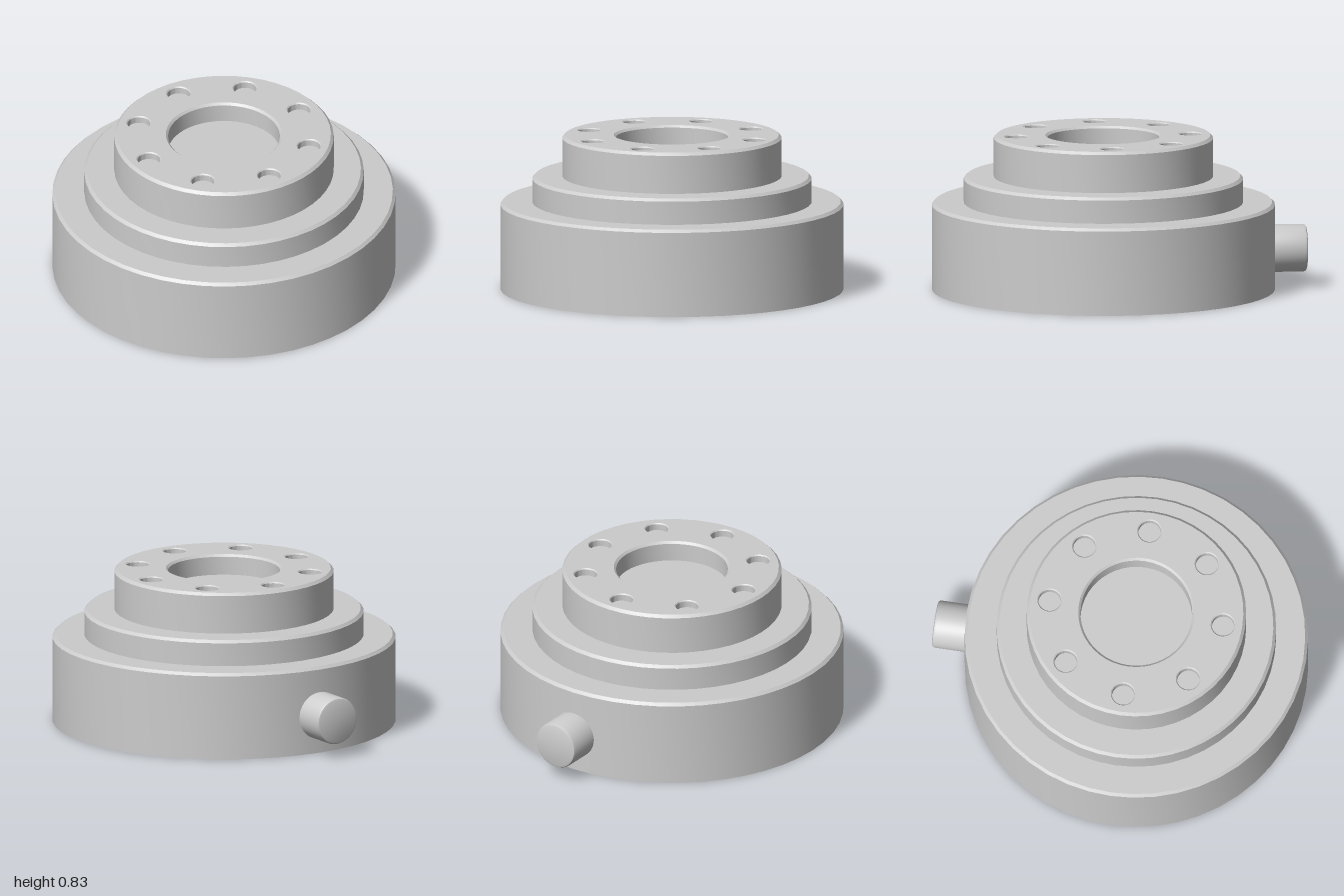
import * as THREE from 'three';
import { toCreasedNormals } from 'three/addons/utils/BufferGeometryUtils.js';

const material = new THREE.MeshStandardMaterial({ color: 0xcccccc });
const SEG = 48;
const BEVEL = 0.015;
const TOP = 0.83;
const AXIS_Z = 0.085;

const add = (parent, name, geometry) => {
  const mesh = new THREE.Mesh(geometry, material);
  mesh.name = name;
  parent.add(mesh);
  return mesh;
};

// Turned part from [radius, height] pairs, with crisp edges
const turned = (points) =>
  toCreasedNormals(
    new THREE.LatheGeometry(points.map(([r, y]) => new THREE.Vector2(r, y)), SEG), 0.5);

// Chamfered recess going down from the top face
const recess = (rimRadius, chamfer, depth) => turned([
  [rimRadius, 0],
  [rimRadius - chamfer, -chamfer],
  [rimRadius - chamfer, -depth],
  [0, -depth],
]);

const circle = (PathType, x, y, r) => new PathType().absarc(x, y, r, 0, Math.PI * 2);

export function createModel() {
  const model = new THREE.Group();
  model.name = 'steppedFlange';

  const body = new THREE.Group();
  body.name = 'body';
  body.position.z = AXIS_Z;
  model.add(body);

  // Three stacked tiers, each with a chamfered upper edge
  const tiers = [[0.915, 0.47], [0.745, 0.61], [0.585, TOP]];
  const profile = [[0, 0], [tiers[0][0], 0]];
  tiers.forEach(([r, y], i) => {
    profile.push([r, y - BEVEL], [r - BEVEL, y]);
    if (tiers[i + 1]) profile.push([tiers[i + 1][0], y]);
  });
  add(body, 'steppedBody', turned(profile));

  // Top face pierced by the bore and the ring of bolt holes
  const boreRadius = 0.31, holeRadius = 0.066, pitchRadius = 0.467;
  const face = circle(THREE.Shape, 0, 0, tiers[2][0] - BEVEL);
  face.holes.push(circle(THREE.Path, 0, 0, boreRadius));
  for (let i = 0; i < 8; i++) {
    const a = (i * Math.PI) / 4;
    const x = pitchRadius * Math.cos(a), z = pitchRadius * Math.sin(a);
    face.holes.push(circle(THREE.Path, x, -z, holeRadius));
    add(body, 'boltHole', recess(holeRadius, 0.006, 0.04)).position.set(x, TOP, z);
  }
  const faceGeometry = new THREE.ShapeGeometry(face, SEG / 2);
  faceGeometry.rotateX(-Math.PI / 2);
  add(body, 'topFace', faceGeometry).position.y = TOP;

  // Shallow central bore
  add(body, 'centralBore', recess(boreRadius, 0.012, 0.11)).position.y = TOP;

  // Round peg at the back, running into the body wall
  const peg = add(model, 'rearPeg', turned([
    [0, 0], [0.127, 0], [0.127, 0.235], [0.122, 0.246], [0.112, 0.25], [0, 0.25],
  ]));
  peg.rotation.x = -Math.PI / 2;
  peg.position.set(0, 0.205, -0.75);

  return model;
}
